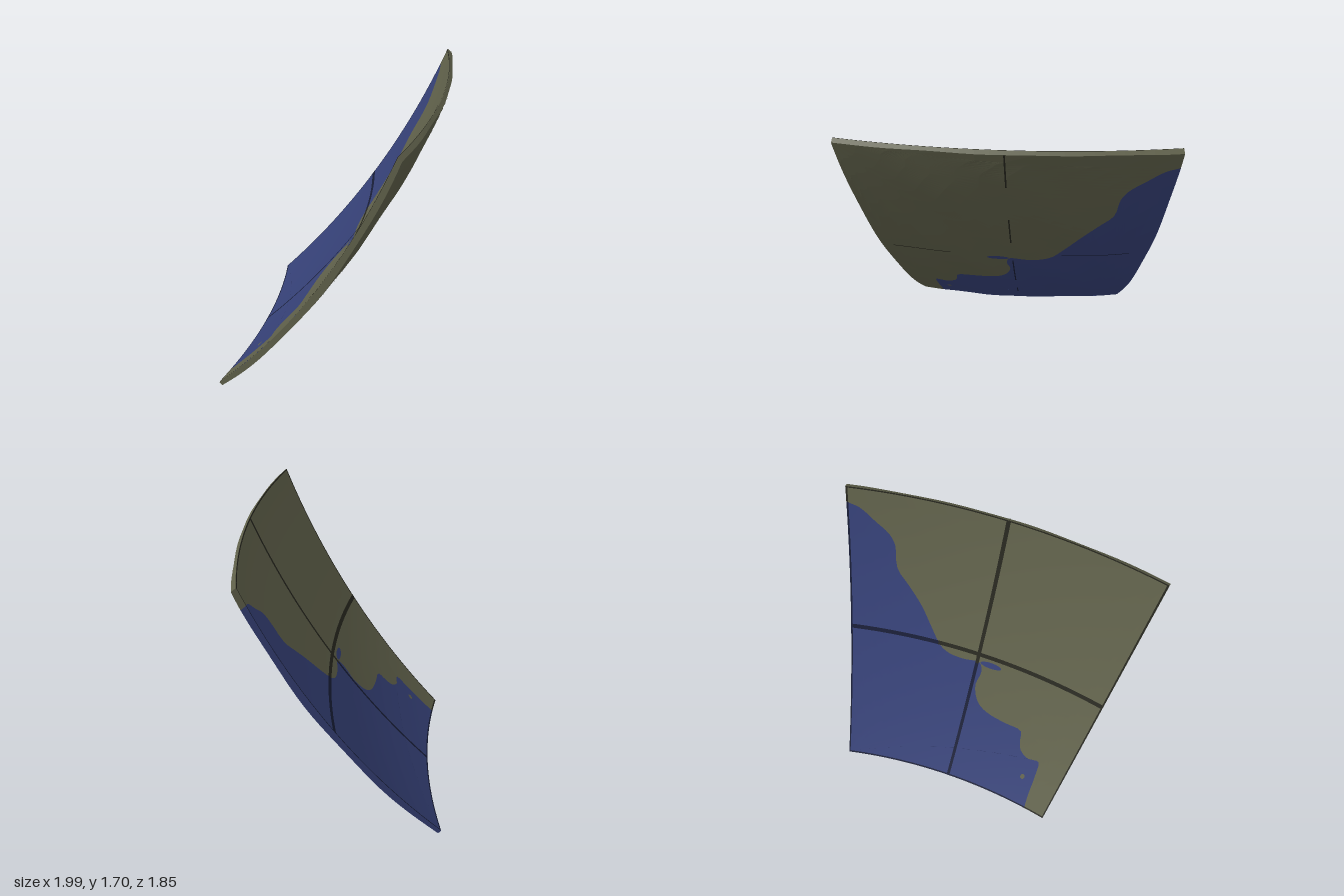
import * as THREE from 'three';

// The panel is a patch of a large sphere: u runs along the rows, v runs up.
const CENTRE = new THREE.Vector3(-2.39, 3.65, -3.47);
const INNER = 5.13;
const A0 = 0.396, A1 = 0.791, Y0 = 0.019, Y1 = 1.7;

// Thickness, fuller in the middle, with a hammered unevenness
const thickness = (u, v) => 0.025 + 0.05 * v * (1 - v)
  + 0.004 * Math.sin(9 * u + 4 * v + 1) * Math.sin(11 * v - 3 * u) + 0.002 * Math.sin(23 * u + 17 * v);

function place(u, v, t) {
  const a = A0 + (A1 - A0) * u, y = Y0 + (Y1 - Y0) * v - CENTRE.y;
  const r = Math.sqrt(INNER * INNER - y * y);
  return new THREE.Vector3(r * Math.sin(a), y, r * Math.cos(a))
    .multiplyScalar((INNER + t) / INNER).add(CENTRE);
}
// Inner face, and outer face set slightly lower at the top so the rim is chamfered
const inner = (u, v, lift = 0) => place(u, v, -lift);
const outer = (u, v, lift = 0) => place(u, v * 0.995, thickness(u, v) + lift);

// Grid of (n+1) x (m+1) points given by a rule f(i, j)
function sheet(n, m, f, flat) {
  const pos = [], idx = [];
  for (let i = 0; i <= n; i++) {
    for (let j = 0; j <= m; j++) {
      pos.push(...f(i, j).toArray());
      if (i < n && j < m) {
        const a = i * (m + 1) + j, b = a + m + 1;
        idx.push(a, b, a + 1, b, b + 1, a + 1);
      }
    }
  }
  let g = new THREE.BufferGeometry();
  g.setAttribute('position', new THREE.Float32BufferAttribute(pos, 3));
  g.setIndex(idx);
  if (flat) g = g.toNonIndexed();
  g.computeVertexNormals();
  return g;
}

// Ragged line between the two colours, from upper right to lower left
const COAST = new THREE.CatmullRomCurve3([
  [1, 0.94], [0.96, 0.925], [0.91, 0.88], [0.865, 0.84], [0.845, 0.8], [0.835, 0.715], [0.79, 0.655],
  [0.74, 0.59], [0.69, 0.51], [0.65, 0.455], [0.61, 0.435], [0.55, 0.43], [0.49, 0.435],
  [0.475, 0.4], [0.485, 0.35], [0.47, 0.305], [0.44, 0.275], [0.39, 0.258], [0.32, 0.25], [0.25, 0.245],
  [0.238, 0.21], [0.22, 0.18], [0.17, 0.162], [0.13, 0.17], [0.118, 0.12], [0.11, 0.05], [0.1, 0],
].map(([u, v]) => new THREE.Vector3(u, v, 0)), false, 'centripetal')
  .getPoints(78).map((p) => [p.x, p.y]);

// Area swept from a panel corner to an outline
function area(corner, line, surface, flat) {
  return sheet(line.length - 1, 12, (i, j) => {
    const k = j / 12;
    return surface(
      corner[0] + (line[i][0] - corner[0]) * k,
      corner[1] + (line[i][1] - corner[1]) * k);
  }, flat);
}

// Point along a line [u0, v0, u1, v1], and a narrow band from a to b across it
const along = (e, k) => [e[0] + (e[2] - e[0]) * k, e[1] + (e[3] - e[1]) * k];
const band = (e, a, b, surface, lift) => sheet(24, 1, (i, j) => {
  const [u, v] = along(e, i / 24), w = j ? b : a;
  return e[0] === e[2] ? surface(u + w * 0.6, v, lift) : surface(u, v + w * 0.5, lift);
});

export function createModel() {
  const group = new THREE.Group();
  const mat = (name, color) =>
    new THREE.MeshStandardMaterial({ name, color, side: THREE.DoubleSide });
  const olive = mat('olive', 0x5e5f49), blue = mat('blue', 0x343f74);
  const darkOlive = mat('dark olive', 0x26261e), darkBlue = mat('dark blue', 0x171c35);

  const add = (name, geometry, material) => {
    const mesh = new THREE.Mesh(geometry, material);
    mesh.name = name;
    group.add(mesh);
  };

  // Inner and outer faces, each in two colours
  const land = [[1, 1], ...COAST, [0, 0]];
  for (const [side, surface, flat] of [['inner', inner, false], ['outer', outer, true]]) {
    add(side + 'OliveArea', area([0, 1], land, surface, flat), olive);
    add(side + 'BlueArea', area([1, 0], COAST, surface, flat), blue);

    // Small olive spot in the blue and a blue tongue reaching into the olive
    const spots = [
      ['spot', 0.168, 0.097, 0.01, 0.009, olive],
      ['tongue', 0.445, 0.437, 0.042, 0.011, blue],
    ];
    for (const [name, u, v, ru, rv, material] of spots) {
      add(name, sheet(16, 1, (i, j) => {
        const a = i / 16 * Math.PI * 2;
        return surface(u + ru * j * Math.cos(a), v + rv * j * Math.sin(a), 0.002);
      }), material);
    }
  }

  // Edges: u0, v0, u1, v1, wall colour, inner border colour
  const edges = [
    [0, 0, 0, 1, olive, darkOlive], [0, 1, 1, 1, olive, darkOlive],
    [1, 1, 1, 0.94, olive, darkOlive], [1, 0.94, 1, 0, blue, darkBlue],
    [1, 0, 0.1, 0, blue, darkBlue], [0.1, 0, 0, 0, olive, darkOlive],
  ];
  for (const e of edges) {
    add('edgeWall', sheet(24, 1, (i, j) => (j ? outer : inner)(...along(e, i / 24)), true), e[4]);
    const inward = e[0] + e[2] === 2 || e[1] + e[3] === 2 ? -1 : 1;
    add('edgeBorder', band(e, 0, 0.01 * inward, inner, 0.002), e[5]);
  }

  // Crossing seams dividing the inner face into four
  const seams = [
    [0.5, 0, 0.5, 0.43, darkBlue], [0.5, 0.43, 0.5, 1, darkOlive],
    [0, 0.466, 0.66, 0.466, darkOlive], [0.66, 0.466, 1, 0.466, darkBlue],
  ];
  for (const e of seams) {
    const w = e[0] === e[2] ? 0.011 : 0.015;
    add('innerSeam', band(e, -w, w, inner, 0.003), e[4]);
  }

  // The same seams showing through the outer face in places
  const dashes = [
    [0.5, 0.86, 0.5, 1, darkOlive], [0.5, 0.55, 0.5, 0.69, darkOlive],
    [0.5, 0.24, 0.5, 0.42, darkBlue], [0.5, 0.1, 0.5, 0.15, darkBlue],
    [0.05, 0.466, 0.27, 0.466, darkOlive], [0.68, 0.466, 0.93, 0.466, darkBlue],
  ];
  for (const e of dashes) add('outerSeam', band(e, -0.004, 0.004, outer, 0.003), e[4]);
  return group;
}
